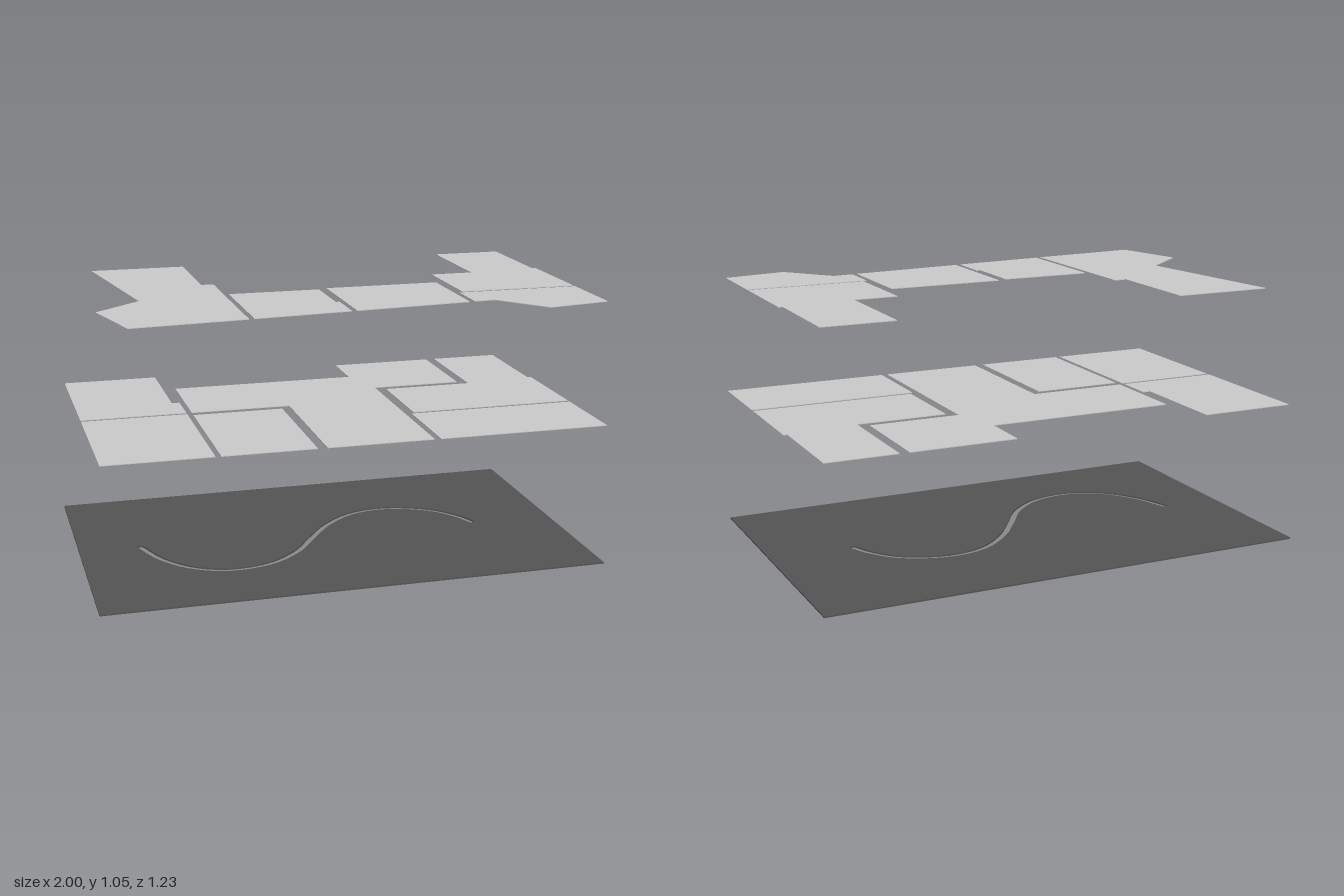
import * as THREE from 'three';

const panelMaterial = new THREE.MeshStandardMaterial({ color: 0xcccccc });
const baseMaterial = new THREE.MeshStandardMaterial({ color: 0x545454 });

// Outlines are [x, z] points seen from above; shapes use y = -z.
const toVectors = (points) => points.map(([x, z]) => new THREE.Vector2(x, -z));

const rect = (x0, z0, x1, z1) => [[x0, z0], [x1, z0], [x1, z1], [x0, z1]];

// Flat sheet cut from an outline, lying at height y
function sheet(name, outline, y, thickness, material, hole) {
  const shape = new THREE.Shape(toVectors(outline));
  if (hole) shape.holes.push(new THREE.Path(toVectors(hole)));
  const geometry = new THREE.ExtrudeGeometry(shape, { depth: thickness, bevelEnabled: false });
  geometry.rotateX(-Math.PI / 2);
  const mesh = new THREE.Mesh(geometry, material);
  mesh.name = name;
  mesh.position.y = y;
  return mesh;
}

// Closed outline of a constant-width slot along a smooth path
function slotOutline(points, width, steps) {
  const curve = new THREE.CatmullRomCurve3(points.map(([x, z]) => new THREE.Vector3(x, 0, z)));
  const left = [], right = [];
  for (let i = 0; i <= steps; i++) {
    const p = curve.getPointAt(i / steps), t = curve.getTangentAt(i / steps);
    const dx = -t.z * width / 2, dz = t.x * width / 2;
    left.push([p.x + dx, p.z + dz]);
    right.unshift([p.x - dx, p.z - dz]);
  }
  return [...left, ...right];
}

const slotPath = [
  [0.66, 0.045], [0.62, -0.045], [0.53, -0.15], [0.35, -0.22], [0.19, -0.195],
  [0.05, -0.085], [-0.045, 0.04], [-0.15, 0.185], [-0.29, 0.285], [-0.46, 0.305],
  [-0.59, 0.245], [-0.69, 0.125], [-0.755, -0.038],
];

const back = -0.595, front = 0.587, side = 0.995;

// Middle layer: rooms around a central hall
const middleRooms = {
  frontRightRoom: rect(-0.975, 0.01, -0.553, front),
  backRightRoom: [
    [-0.975, back], [-0.585, back], [-0.585, -0.165],
    [-0.553, -0.165], [-0.553, -0.01], [-0.975, -0.01],
  ],
  frontInnerRoom: rect(-0.532, 0.03, -0.168, front),
  centralHall: [
    [-0.532, -0.385], [0.23, -0.385], [0.23, back], [0.657, back], [0.657, -0.187],
    [0.288, -0.187], [0.288, front], [-0.131, front], [-0.131, -0.008], [-0.532, -0.008],
  ],
  backLeftRoom: [
    [0.327, -0.15], [0.695, -0.15], [0.695, back], [0.98, back],
    [0.98, -0.178], [side, -0.178], [side, 0.215], [0.327, 0.215],
  ],
  frontLeftRoom: rect(0.313, 0.235, side, front),
};

// Upper layer: rooms with a slanted front line
const upperRooms = {
  upperRightRoom: [
    [-0.84, back], [-0.45, back], [-0.45, -0.18], [-0.4, -0.18], [-0.4, 0.487],
    [-0.85, 0.525], [-0.925, 0.23], [-0.74, 0.07],
  ],
  upperInnerRightRoom: [
    [-0.38, 0.03], [-0.015, 0.03], [-0.015, 0.28], [0, 0.28], [0, 0.45], [-0.38, 0.484],
  ],
  upperInnerLeftRoom: [[0.02, 0.015], [0.482, 0.015], [0.482, 0.405], [0.02, 0.447]],
  upperBackLeftRoom: [
    [0.52, -0.15], [0.695, -0.15], [0.695, back], [0.98, back],
    [0.98, -0.178], [side, -0.178], [side, 0.215], [0.52, 0.215],
  ],
  upperFrontLeftRoom: [
    [0.502, 0.235], [side, 0.235], [side, 0.535], [0.74, 0.58], [0.585, 0.395], [0.502, 0.402],
  ],
};

export function createModel() {
  const model = new THREE.Group();
  model.name = 'layeredFloorPlan';

  // Base plate with the S-shaped slot
  model.add(sheet('basePlate', rect(-1, -0.615, 1, 0.615), 0, 0.006, baseMaterial,
    slotOutline(slotPath, 0.026, 48)));

  // Two floating layers of thin panels
  for (const [name, rooms, y] of [['middleLayer', middleRooms, 0.563], ['upperLayer', upperRooms, 1.044]]) {
    const layer = new THREE.Group();
    layer.name = name;
    for (const [room, outline] of Object.entries(rooms)) {
      layer.add(sheet(room, outline, y, 0.003, panelMaterial));
    }
    model.add(layer);
  }
  return model;
}
